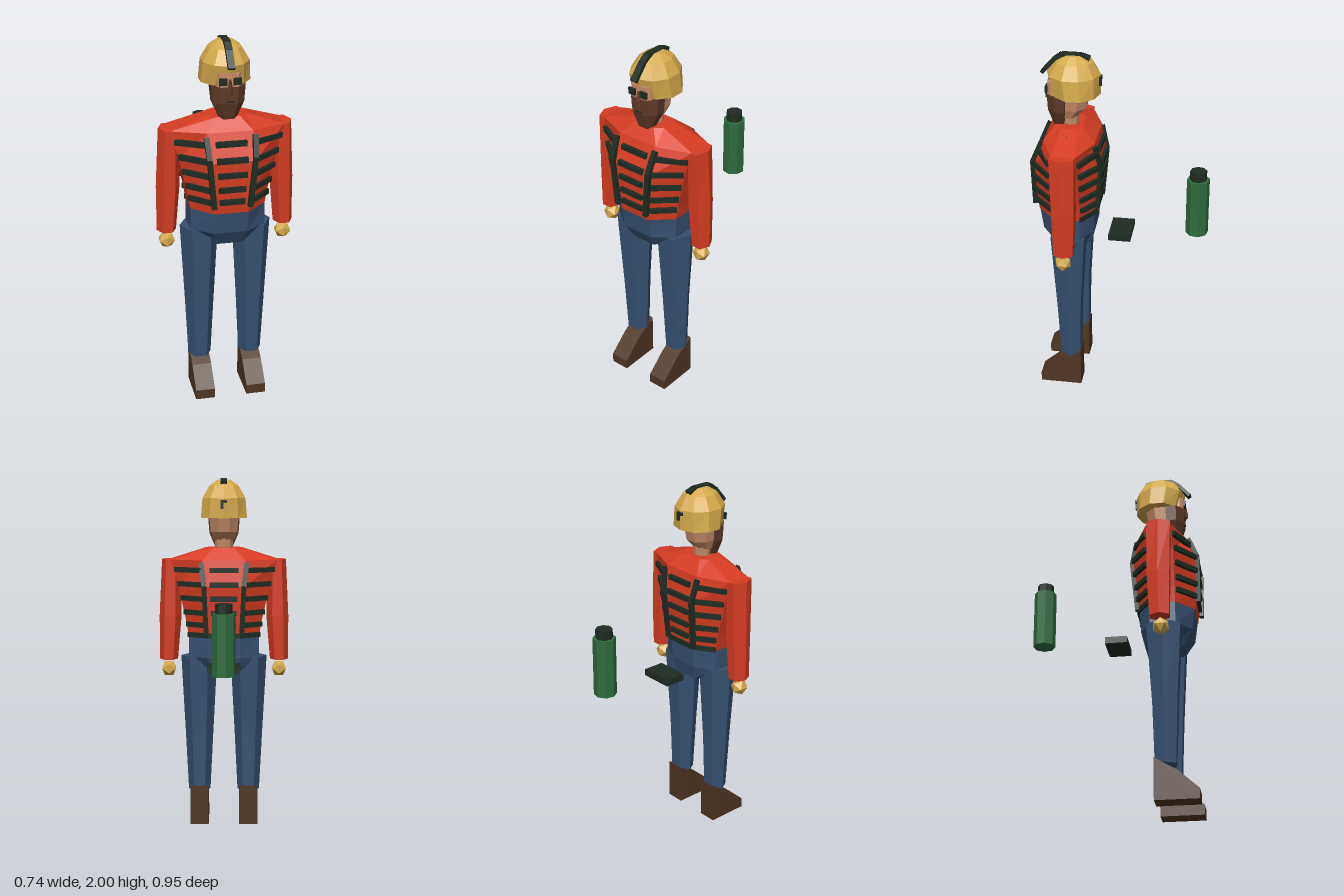
import * as THREE from 'three';

const mat = (name, color, side = THREE.FrontSide) => {
  const m = new THREE.MeshStandardMaterial({ color, side, flatShading: true });
  m.name = name;
  return m;
};

// Closed solid through horizontal rings listed bottom to top
function loft(rings) {
  const pos = [], n = rings[0].length;
  const tri = (...pts) => pts.forEach(p => pos.push(...p));
  const mid = r => r.reduce((s, p) => s.map((v, k) => v + p[k] / n), [0, 0, 0]);
  const lo = rings[0], hi = rings[rings.length - 1], cl = mid(lo), ch = mid(hi);
  for (let j = 0; j < n; j++) {
    const k = (j + 1) % n;
    for (let i = 0; i + 1 < rings.length; i++) {
      const a = rings[i], b = rings[i + 1];
      tri(a[j], a[k], b[k]);
      tri(a[j], b[k], b[j]);
    }
    tri(cl, lo[k], lo[j]);
    tri(ch, hi[j], hi[k]);
  }
  const g = new THREE.BufferGeometry();
  g.setAttribute('position', new THREE.Float32BufferAttribute(pos, 3));
  g.computeVertexNormals();
  return g;
}

// Elliptical ring
const ell = (n, off, y, cx, cz, rx, rz) => Array.from({ length: n }, (_, j) => {
  const t = off + j * 2 * Math.PI / n;
  return [cx + rx * Math.sin(t), y, cz + rz * Math.cos(t)];
});
// Eight-cornered ring: front width, side width, front/back depth, side depths
const oct = (y, fx, sx, zf, zb, sf, sb) =>
  [[-fx, y, zf], [fx, y, zf], [sx, y, sf], [sx, y, sb], [fx, y, zb], [-fx, y, zb], [-sx, y, sb], [-sx, y, sf]];

export function createModel() {
  const root = new THREE.Group();
  root.name = 'figure';
  const red = mat('red shirt', 0xd63c22), blue = mat('blue trousers', 0x36506f);
  const dark = mat('dark webbing', 0x1f2c22), gold = mat('gold', 0xd4aa4c);
  const skin = mat('skin', 0xc28a66), beard = mat('beard brown', 0x5e3a28);
  const boot = mat('boot brown', 0x4e3524), green = mat('bottle green', 0x2f6b3e);

  const add = (name, geo, m, x = 0, y = 0, z = 0) => {
    const mesh = new THREE.Mesh(geo, m);
    mesh.name = name;
    mesh.position.set(x, y, z);
    root.add(mesh);
    return mesh;
  };
  // Straight bar from a to b, w wide and h thick along the up direction
  const bar = (name, a, b, w, h, up, m) => {
    const p = new THREE.Vector3(...a), q = new THREE.Vector3(...b);
    const mesh = add(name, new THREE.BoxGeometry(w, h, p.distanceTo(q)), m);
    mesh.position.copy(p).lerp(q, 0.5);
    mesh.up.set(...up);
    mesh.lookAt(q);
  };
  const Y = [0, 1, 0], Z = [0, 0, 1];

  // Torso and hips
  const torso = [
    oct(1.11, 0.09, 0.2, 0.44, 0.13, 0.34, 0.2),
    oct(1.2, 0.1, 0.215, 0.45, 0.12, 0.34, 0.2),
    oct(1.4, 0.12, 0.26, 0.457, 0.102, 0.34, 0.2),
    oct(1.545, 0.12, 0.3, 0.4, 0.125, 0.33, 0.2),
    oct(1.61, 0.06, 0.1, 0.345, 0.2, 0.31, 0.23),
  ];
  add('torso', loft(torso), red);
  add('hips', loft([
    oct(0.905, 0.07, 0.1, 0.37, 0.16, 0.32, 0.2),
    oct(0.99, 0.09, 0.2, 0.42, 0.14, 0.34, 0.2),
    oct(1.11, 0.09, 0.2, 0.437, 0.133, 0.34, 0.2),
  ]), blue);

  // Harness rows follow the torso, one strap per face
  const ringAt = y => {
    const i = torso.findIndex((r, k) => k < 4 && torso[k + 1][0][1] >= y);
    const a = torso[i], b = torso[i + 1], t = (y - a[0][1]) / (b[0][1] - a[0][1]);
    return a.map((p, j) => p.map((v, k) => v + (b[j][k] - v) * t));
  };
  for (const y of [1.18, 1.25, 1.33, 1.41, 1.49]) {
    const r = ringAt(y);
    for (const j of [0, 1, 3, 4, 5, 7]) {
      const [p, q] = [r[j], r[(j + 1) % 8]];
      const len = Math.hypot(q[0] - p[0], q[2] - p[2]);
      const nx = -(q[2] - p[2]) / len * 0.006, nz = (q[0] - p[0]) / len * 0.006;
      const at = t => [p[0] + (q[0] - p[0]) * t + nx, y, p[2] + (q[2] - p[2]) * t + nz];
      bar('harnessStrap', at(j % 4 ? 0.06 : 0.16), at(j % 4 ? 0.97 : 0.84), 0.022, 0.028, Y, dark);
    }
  }
  // Belt across the back
  const waist = ringAt(1.12);
  for (const j of [3, 4, 5]) bar('backBelt', waist[j], waist[j + 1], 0.02, 0.028, Y, dark);

  for (const s of [1, -1]) {
    // Upright harness webbing, front and back
    const paths = [
      [[0.128, 1.53, 0.415], [0.12, 1.42, 0.462], [0.095, 1.15, 0.46]],
      [[0.128, 1.53, 0.125], [0.112, 1.4, 0.096], [0.1, 1.12, 0.122]],
    ];
    for (const path of paths) for (let i = 0; i < 2; i++) {
      const [a, b] = [path[i], path[i + 1]].map(([x, y, z]) => [s * x, y, z]);
      bar('harnessUpright', a, b, 0.027, 0.024, Z, dark);
    }
    add('shoulderStud', new THREE.ConeGeometry(0.007, 0.015, 4), dark, s * 0.157, 1.59, 0.267);

    // Arm and hand
    const o = Math.PI / 6;
    add('arm', loft([
      ell(6, o, 0.97, s * 0.317, 0.268, 0.052, 0.06),
      ell(6, o, 1.22, s * 0.306, 0.265, 0.063, 0.07),
      ell(6, o, 1.545, s * 0.3, 0.268, 0.053, 0.076),
    ]), red);
    add('hand', new THREE.IcosahedronGeometry(0.047), gold, s * 0.317, 0.913, 0.273);

    // Leg
    add('leg', loft([
      ell(6, o, 0.2, s * 0.142, 0.27, 0.063, 0.064),
      ell(6, o, 0.54, s * 0.142, 0.273, 0.08, 0.077),
      ell(6, o, 0.99, s * 0.142, 0.272, 0.104, 0.107),
    ]), blue);

    // Wedge boot, profile drawn as (z, y)
    const profile = [[0.21, 0], [0.445, 0], [0.445, 0.055], [0.335, 0.155], [0.21, 0.23]];
    const bootGeo = new THREE.ExtrudeGeometry(
      new THREE.Shape(profile.map(([z, y]) => new THREE.Vector2(-z, y))), { depth: 0.106, bevelEnabled: false });
    bootGeo.rotateY(Math.PI / 2);
    add('boot', bootGeo, boot, s * 0.142 - 0.053, 0, 0);

    // Eyewear
    add('eyepiece', new THREE.BoxGeometry(0.042, 0.036, 0.012), dark, s * 0.037, 1.81, 0.391);
  }

  // Neck, skull and bearded face
  add('neck', loft([ell(8, 0, 1.58, 0, 0.27, 0.05, 0.045), ell(8, 0, 1.7, 0, 0.265, 0.05, 0.045)]), skin);
  add('skull', loft([
    ell(8, 0.39, 1.65, 0, 0.28, 0.06, 0.05),
    ell(8, 0.39, 1.7, 0, 0.26, 0.08, 0.08),
    ell(8, 0.39, 1.79, 0, 0.255, 0.09, 0.095),
  ]), skin);
  add('beardedFace', loft([
    oct(1.6, 0.025, 0.045, 0.36, 0.3, 0.34, 0.31),
    oct(1.69, 0.04, 0.083, 0.387, 0.285, 0.345, 0.29),
    oct(1.78, 0.045, 0.09, 0.39, 0.28, 0.345, 0.285),
  ]), beard);
  add('brow', loft([
    oct(1.78, 0.045, 0.065, 0.387, 0.3, 0.365, 0.31),
    oct(1.85, 0.045, 0.06, 0.385, 0.3, 0.365, 0.31),
  ]), skin);
  add('nose', loft([
    ell(4, 0, 1.74, 0, 0.39, 0.016, 0.016),
    ell(4, 0, 1.765, 0, 0.39, 0.014, 0.018),
    ell(4, 0, 1.82, 0, 0.386, 0.006, 0.006),
  ]), beard);
  add('mouth', new THREE.BoxGeometry(0.045, 0.008, 0.008), dark, 0, 1.702, 0.387);

  // Faceted helmet with crest and rear clip
  add('helmet', loft([
    ell(10, 0, 1.78, 0, 0.238, 0.136, 0.128),
    ell(10, 0, 1.89, 0, 0.252, 0.127, 0.143),
    ell(10, 0, 1.96, 0, 0.25, 0.085, 0.1),
    ell(10, 0, 1.993, 0, 0.25, 0.035, 0.042),
  ]), gold);
  const crest = [[1.975, 0.165], [1.99, 0.21], [1.99, 0.315], [1.96, 0.355], [1.885, 0.42]];
  for (let i = 0; i < 4; i++)
    bar('helmetCrest', [0, ...crest[i]], [0, ...crest[i + 1]], 0.036, 0.02, Y, dark);
  add('rearClip', new THREE.BoxGeometry(0.036, 0.016, 0.02), dark, 0, 1.872, 0.112);
  add('rearClip', new THREE.BoxGeometry(0.016, 0.035, 0.02), dark, 0.01, 1.85, 0.112);

  // Detached plate and bottle behind the figure
  add('backPlate', new THREE.BoxGeometry(0.186, 0.038, 0.122), dark, 0, 0.956, 0);
  add('bottle', loft([0.98, 1.31].map(y => ell(8, 0.2, y, 0, -0.418, 0.062, 0.062))), green);
  add('bottleCap', loft([1.31, 1.36].map(y => ell(8, 0.2, y, 0, -0.418, 0.046, 0.046))), dark);
  return root;
}
